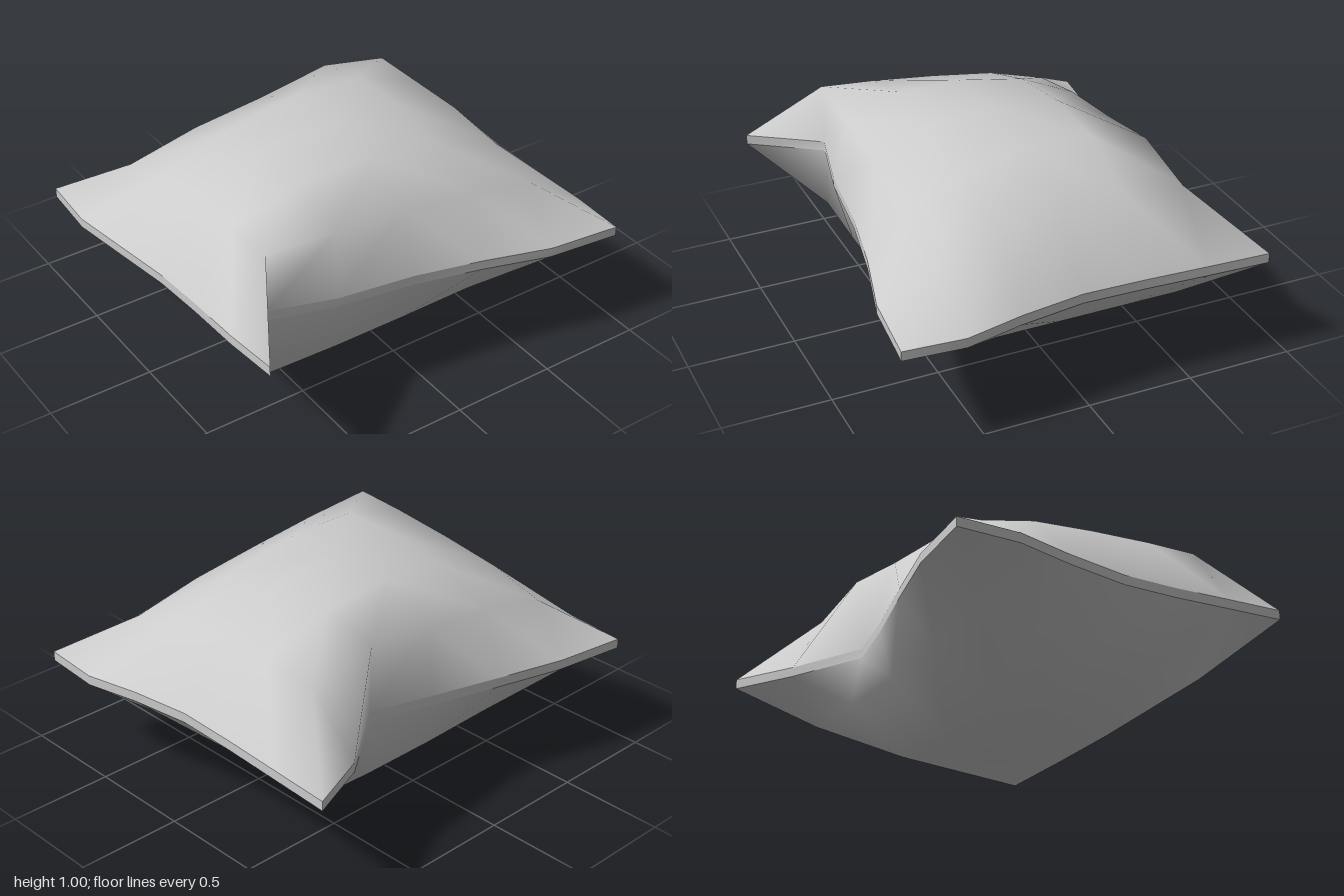
import * as THREE from 'three';

// Seam outline, as [x, y, z] of the band's middle
const FRONT = [[-0.915, 0.585, 0.897], [-0.72, 0.572, 0.57], [-0.4, 0.55, 0.64], [-0.03, 0.535, 0.68],
  [0.3, 0.515, 0.74], [0.63, 0.5, 0.825], [0.985, 0.493, 0.857]];
const BACK = [[-0.98, 0.495, -0.865], [-0.63, 0.5, -0.82], [-0.3, 0.5, -0.73], [0.04, 0.5, -0.63],
  [0.34, 0.51, -0.555], [0.63, 0.475, -0.76], [0.945, 0.495, -0.9]];
// Side edges, back to front
const LEFT = [[0.93, 0.495, -0.6], [0.92, 0.5, -0.3], [0.915, 0.503, 0], [0.95, 0.497, 0.3], [1, 0.488, 0.57]];
const RIGHT = [[-1, 0.5, -0.57], [-0.96, 0.5, -0.3], [-0.92, 0.51, 0.02], [-0.915, 0.53, 0.3], [-0.92, 0.555, 0.6]];

// Inner grid of the cushion: columns, rows and heights (rows run back to front)
const XS = [-0.72, -0.37, 0, 0.36, 0.7];
const ZS = [-0.585, -0.31, 0, 0.31, 0.57];
const TOP = [
  [0.71, 0.785, 0.825, 0.88, 0.81],
  [0.79, 0.91, 0.965, 0.95, 0.815],
  [0.835, 0.965, 1.0, 0.96, 0.82],
  [0.87, 0.965, 0.965, 0.905, 0.785],
  [0.89, 0.865, 0.825, 0.78, 0.71],
];
const BOTTOM = [
  [0.32, 0.26, 0.25, 0.25, 0.26],
  [0.26, 0.045, 0.04, 0.055, 0.26],
  [0.26, 0.045, 0.005, 0.05, 0.26],
  [0.26, 0.05, 0.045, 0.045, 0.26],
  [0.26, 0.25, 0.25, 0.255, 0.305],
];
const HALF_BAND = 0.023;
const N = 7;

function geometryFrom(positions, index) {
  const g = new THREE.BufferGeometry();
  g.setAttribute('position', new THREE.Float32BufferAttribute(positions, 3));
  g.setIndex(index);
  g.computeVertexNormals();
  return g;
}

// One skin of the cushion: seam points round the rim, puffed grid inside
function skin(heights, side) {
  const positions = [], index = [], otherHalves = [];
  for (let j = 0; j < N; j++) {
    for (let i = 0; i < N; i++) {
      const rim = j === 0 ? BACK[i] : j === N - 1 ? FRONT[i]
        : i === 0 ? RIGHT[j - 1] : i === N - 1 ? LEFT[j - 1] : null;
      if (rim) positions.push(rim[0], rim[1] + side * HALF_BAND, rim[2]);
      else positions.push(XS[i - 1], heights[j - 1][i - 1], ZS[j - 1]);
    }
  }
  for (let j = 0; j < N - 1; j++) {
    for (let i = 0; i < N - 1; i++) {
      const a = j * N + i, b = a + N, c = b + 1, d = a + 1;
      const falling = [a, b, c, a, c, d], rising = [a, b, d, b, c, d];
      if (side < 0) [falling, rising].forEach((q) => q.reverse());
      // Diagonals run towards the nearest corner
      const towardsCorner = (i < 3) === (j < 3);
      index.push(...(towardsCorner ? falling : rising));
      otherHalves.push(...(towardsCorner ? rising : falling));
    }
  }
  // Normals average both ways of splitting each quad, so the cloth shades evenly
  const g = geometryFrom(positions, [...index, ...otherHalves]);
  g.setIndex(index);
  return g;
}

// Thin upright band along one edge, smooth along its length
function seamBand(points) {
  const positions = [], index = [];
  points.forEach(([x, y, z], k) => {
    positions.push(x, y - HALF_BAND, z, x, y + HALF_BAND, z);
    const a = 2 * k;
    if (k < points.length - 1) index.push(a, a + 2, a + 3, a, a + 3, a + 1);
  });
  return geometryFrom(positions, index);
}

export function createModel() {
  const group = new THREE.Group();
  group.name = 'pillow';
  const material = new THREE.MeshStandardMaterial({ color: 0xcccccc, side: THREE.DoubleSide });
  const add = (name, geometry) => {
    const mesh = new THREE.Mesh(geometry, material);
    mesh.name = name;
    group.add(mesh);
  };
  add('topCover', skin(TOP, 1));
  add('bottomCover', skin(BOTTOM, -1));

  // Seam bands run anticlockwise seen from above, so they face outwards
  add('frontSeam', seamBand(FRONT));
  add('leftSeam', seamBand([BACK[N - 1], ...LEFT, FRONT[N - 1]].reverse()));
  add('backSeam', seamBand([...BACK].reverse()));
  add('rightSeam', seamBand([BACK[0], ...RIGHT, FRONT[0]]));
  return group;
}
